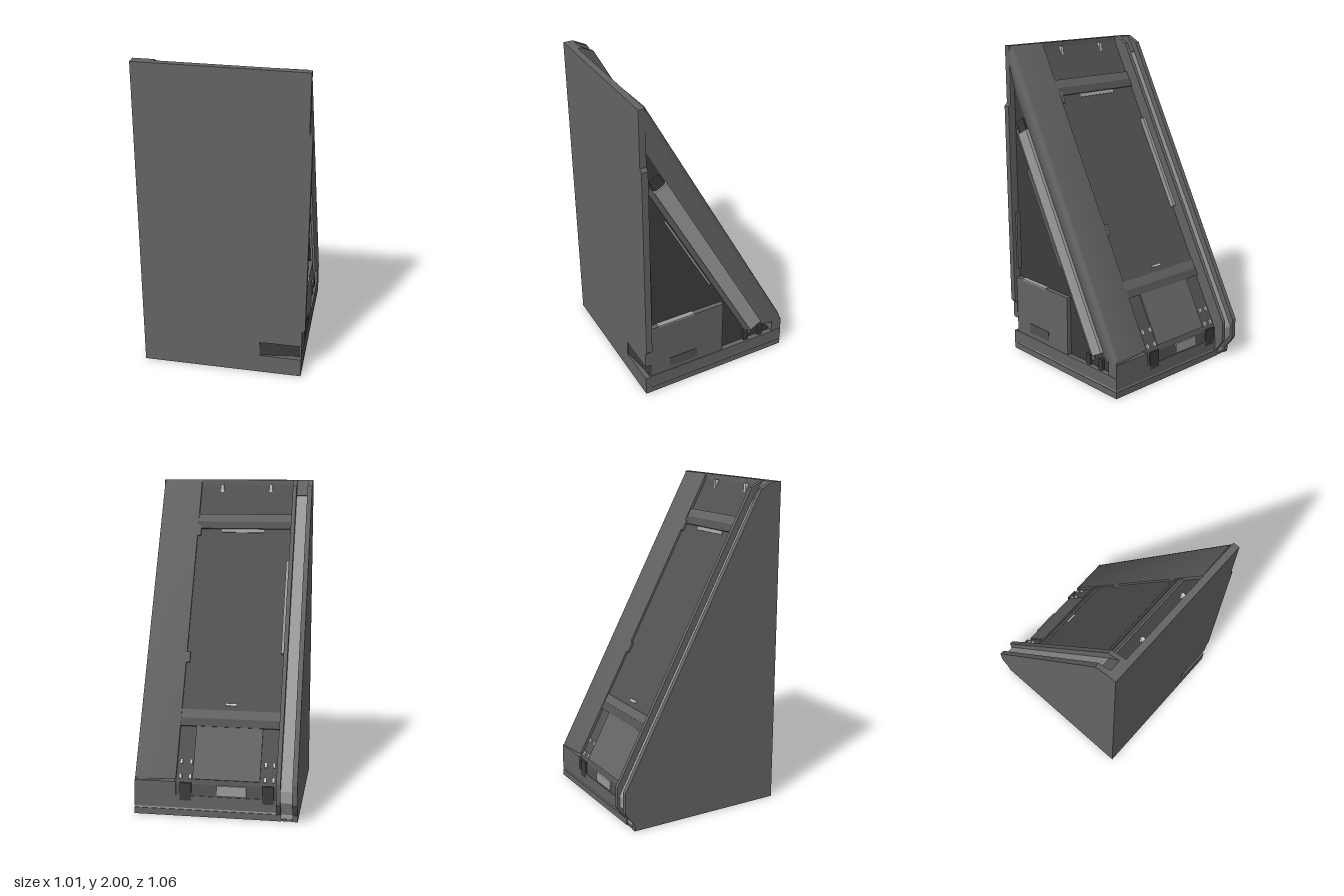
import * as THREE from 'three';
import { toCreasedNormals } from 'three/addons/utils/BufferGeometryUtils.js';

const paint = color => new THREE.MeshStandardMaterial({ color });
const MAIN = paint(0x646464);
const DARK = paint(0x525252);
const SHADE = paint(0x3c3c3c);
const LIGHT = paint(0x9c9c9c);
const BRIGHT = paint(0xd4d4d4);

// Slope frame: s runs up the slope, d is the depth below it
const FOOT = { z: -0.53, y: 0.25 };
const UP = { z: 0.474, y: 0.881 };
const onSlope = (s, d) => [FOOT.z + UP.z * s + UP.y * d, FOOT.y + UP.y * s - UP.z * d];

function add(parent, name, geometry, material = MAIN) {
  const mesh = new THREE.Mesh(geometry, material);
  mesh.name = name;
  parent.add(mesh);
}

// Box given by its limits on each axis
function box(parent, name, [x0, x1], [y0, y1], [z0, z1], material) {
  const g = new THREE.BoxGeometry(x1 - x0, y1 - y0, z1 - z0);
  add(parent, name, g.translate((x0 + x1) / 2, (y0 + y1) / 2, (z0 + z1) / 2), material);
}

// Side profile of [z, y] points, extruded from x0 to x1
function profile(parent, name, points, x0, x1, material) {
  const shape = new THREE.Shape(points.map(([z, y]) => new THREE.Vector2(-z, y)));
  const g = new THREE.ExtrudeGeometry(shape, { depth: x1 - x0, bevelEnabled: false });
  add(parent, name, g.rotateY(Math.PI / 2).translate(x0, 0, 0), material);
}

// Front outline of [x, y] points, extruded from z0 to z1
function plate(parent, name, points, z0, z1) {
  const shape = new THREE.Shape(points.map(p => new THREE.Vector2(...p)));
  const g = new THREE.ExtrudeGeometry(shape, { depth: z1 - z0, bevelEnabled: false });
  add(parent, name, g.translate(0, 0, z0));
}

export function createModel() {
  const model = new THREE.Group();
  model.name = 'slopedCabinet';

  // Group whose y axis points out of the slope and whose z axis runs up it
  const slope = new THREE.Group();
  slope.name = 'slopeParts';
  slope.position.set(0, FOOT.y, FOOT.z);
  slope.rotation.x = -Math.atan2(UP.y, UP.z);
  model.add(slope);
  const slab = (name, xs, [d0, d1], ss, material) => box(slope, name, xs, [-d1, -d0], ss, material);

  // Front wall with a notch near the foot and a raised edge strip
  plate(model, 'frontWall', [[-0.385, 0], [0.487, 0], [0.487, 0.125], [0.225, 0.125],
    [0.225, 0.225], [0.487, 0.225], [0.487, 2], [-0.385, 2]], 0.49, 0.53);
  plate(model, 'frontEdgeStrip', [[0.487, 0.33], [0.505, 0.35], [0.505, 1.63], [0.487, 1.65]], 0.49, 0.53);
  const scoop = new THREE.BoxGeometry(0.255, 0.1, 0.012);
  add(model, 'notchScoop', scoop.rotateY(0.13).translate(0.352, 0.175, 0.502), SHADE);

  // Triangular side wall: two rims and a sunken channel between them
  const rim = [[0.53, 0], [0.53, 2], [0.47, 2], [0.39, 1.96], [-0.53, 0.25],
    [-0.53, 0.12], [-0.495, 0.07], [-0.47, 0.04], [-0.47, 0]];
  profile(model, 'sideWallOuterRim', rim, -0.51, -0.48);
  profile(model, 'sideWallInnerRim', rim, -0.41, -0.385);
  profile(model, 'sideWallChannel', [[0.52, 0.01], [0.52, 1.9], [0.41, 1.9],
    onSlope(1.85, 0.04), [-0.515, 0.2], [-0.515, 0.13], [-0.46, 0.04], [-0.46, 0.01]], -0.48, -0.41, LIGHT);
  profile(model, 'sideWallCap', [[0.53, 0], [0.53, 2], [0.47, 2], [0.4, 1.9], [0.51, 1.85], [0.51, 0]],
    -0.48, -0.41);
  box(model, 'sideWallFoot', [-0.48, -0.41], [0, 0.012], [-0.465, 0.52]);

  // Body behind the slope
  profile(model, 'body', [[0.495, 0.1], [0.495, 1.974], onSlope(2, 0.085), onSlope(-0.01, 0.085), [-0.468, 0.1]],
    -0.39, 0.24, DARK);
  profile(model, 'openSidePanel', [[0.495, 0.1], [0.495, 1.72], onSlope(1.75, 0.18),
    onSlope(0.12, 0.18), [-0.42, 0.1]], 0.23, 0.455, SHADE);

  // Base with a fine groove all round
  box(model, 'baseFoot', [-0.39, 0.487], [0, 0.04], [-0.47, 0.5]);
  box(model, 'baseGroove', [-0.39, 0.482], [0.03, 0.06], [-0.465, 0.5], LIGHT);
  box(model, 'baseTop', [-0.39, 0.487], [0.052, 0.13], [-0.47, 0.5]);
  box(model, 'baseCornerBlock', [0.23, 0.485], [0.13, 0.215], [-0.47, -0.4]);
  box(model, 'baseLabelPlate', [-0.2, -0.02], [0.14, 0.2], [-0.471, -0.46], LIGHT);
  for (const x of [-0.33, 0.17])
    box(model, 'baseClip', [x - 0.035, x + 0.035], [0.1, 0.21], [-0.472, -0.46], SHADE);

  // Rounded edge strip, trimmed to the top, foot and front wall
  const section = new THREE.Shape();
  section.moveTo(0.23, -0.2);
  section.lineTo(0.23, -0.068);
  section.lineTo(0.46, -0.062);
  section.bezierCurveTo(0.49, -0.068, 0.492, -0.1, 0.484, -0.13);
  section.lineTo(0.45, -0.2);
  const strip = new THREE.ExtrudeGeometry(section, { depth: 1, bevelEnabled: false, curveSegments: 8 });
  const p = strip.attributes.position;
  for (let i = 0; i < p.count; i++) {
    const d = -p.getY(i);
    const low = Math.max((-0.05 + UP.z * d) / UP.y, (0.068 - UP.y * d) / UP.z);
    const high = Math.min((1.75 + UP.z * d) / UP.y, (1.025 - UP.y * d) / UP.z);
    p.setZ(i, p.getZ(i) > 0.5 ? high : low);
  }
  add(slope, 'roundedEdgeStrip', toCreasedNormals(strip, 0.7));

  // Recessed panels and ledges on the slope
  const width = [-0.385, 0.23];
  slab('mainPanel', width, [0.08, 0.1], [0.45, 1.68], DARK);
  slab('lowerPanel', [-0.28, 0.13], [0.075, 0.1], [0.02, 0.345]);
  for (const s of [0.345, 1.67]) {
    slab('ledge', width, [0.07, 0.1], [s, s + 0.05], DARK);
    slab('ledgeStep', width, [0.074, 0.1], [s + 0.05, s + 0.105]);
  }
  slab('lowerHandle', [-0.11, -0.04], [0.07, 0.09], [0.48, 0.495], BRIGHT);
  slab('upperHandle', [-0.21, 0.07], [0.074, 0.09], [1.645, 1.668], LIGHT);
  slab('sideGrip', [-0.385, -0.365], [0.05, 0.09], [0.82, 1.44], LIGHT);
  for (const s of [0.75, 1.62]) slab('panelTab', [0.208, 0.23], [0.066, 0.09], [s, s + 0.07]);
  for (const x of [-0.36, -0.31, 0.145, 0.205])
    for (const s of [0.02, 0.11]) slab('clip', [x - 0.008, x + 0.008], [0.074, 0.1], [s, s + 0.03], BRIGHT);
  for (const x of [-0.235, 0.09])
    box(model, 'topClip', [x - 0.01, x + 0.01], [1.92, 1.97], [0.464, 0.492], BRIGHT);

  // Trim on the open side
  slab('sideBar', [0.44, 0.475], [0.19, 0.28], [0.09, 1.525], LIGHT);
  slab('sideBarEdge', [0.44, 0.462], [0.28, 0.31], [0.06, 1.56]);
  slab('sideBarHead', [0.44, 0.465], [0.2, 0.27], [1.525, 1.6], SHADE);
  slab('sideTrimLine', [0.44, 0.462], [0.315, 0.328], [0.66, 1.3], LIGHT);
  box(model, 'frontTrimLine', [0.44, 0.48], [0.57, 0.95], [0.475, 0.495]);
  box(model, 'sideBox', [0.3, 0.484], [0.12, 0.51], [-0.02, 0.492]);
  box(model, 'sideBoxLabelPlate', [0.46, 0.487], [0.16, 0.225], [0.165, 0.36], DARK);
  box(model, 'sideBoxTopLine', [0.44, 0.486], [0.505, 0.514], [0.19, 0.435], LIGHT);
  for (const z of [-0.33, -0.22])
    box(model, 'sideFootBlock', [0.42, 0.475], [0.12, 0.2], [z, z + 0.03], SHADE);

  return model;
}
